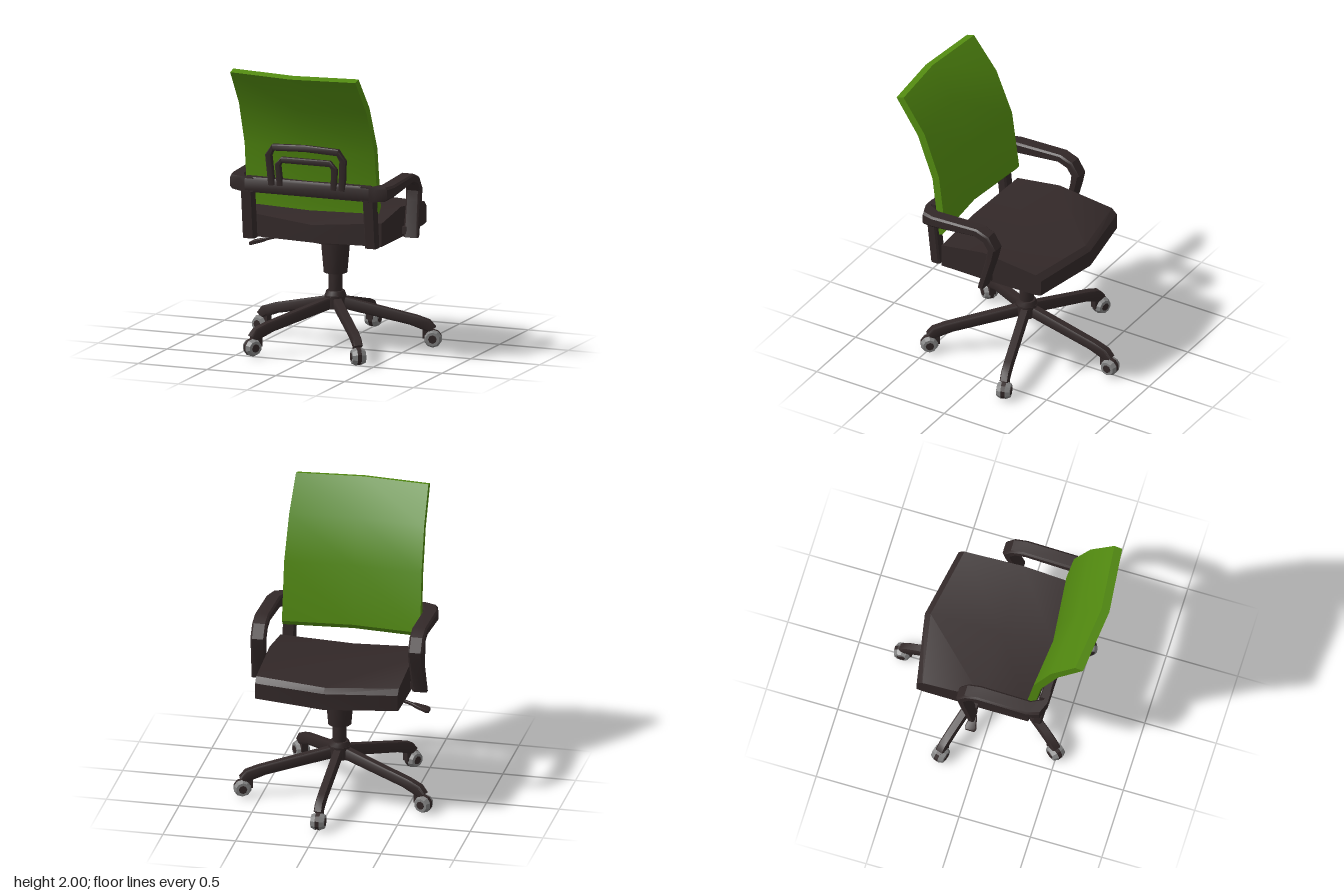
import * as THREE from 'three';
import { toCreasedNormals } from 'three/addons/utils/BufferGeometryUtils.js';

const black = new THREE.MeshStandardMaterial({ color: 0x322828 });
black.name = 'dark plastic';
const green = new THREE.MeshStandardMaterial({ color: 0x528a10 });
green.name = 'green mesh';
const grey = new THREE.MeshStandardMaterial({ color: 0x838383 });
grey.name = 'grey wheel';

const V = (x, y, z) => new THREE.Vector3(x, y, z);

// Closed solid through a row of equal-sized point loops
function loft(loops, crease = 0.55) {
  const n = loops[0].length;
  const pts = loops.flat();
  let idx = [];
  const quad = (a, b, c, d) => idx.push(a, b, c, a, c, d);
  for (let s = 0; s < loops.length - 1; s++) {
    for (let i = 0; i < n; i++) {
      const j = (i + 1) % n;
      quad(s * n + i, s * n + j, (s + 1) * n + j, (s + 1) * n + i);
    }
  }
  const e = (loops.length - 1) * n;
  for (let i = 0; i < n / 2 - 1; i++) {
    quad(i, n - 1 - i, n - 2 - i, i + 1);
    quad(e + i, e + i + 1, e + n - 2 - i, e + n - 1 - i);
  }
  // Turn the faces outward
  let volume = 0;
  for (let i = 0; i < idx.length; i += 3) {
    volume += pts[idx[i]].dot(pts[idx[i + 1]].clone().cross(pts[idx[i + 2]]));
  }
  if (volume < 0) idx = idx.reverse();
  const g = new THREE.BufferGeometry().setFromPoints(pts);
  g.setIndex(idx);
  return toCreasedNormals(g, crease);
}

// Bar with chamfered edges; each section is [centre, half side vector, half height vector]
const CHAMFER = [[-0.75, -1], [0.75, -1], [1, -0.65], [1, 0.65], [0.75, 1], [-0.75, 1], [-1, 0.65], [-1, -0.65]];
const bar = (sections) => loft(sections.map(([c, u, v]) =>
  CHAMFER.map(([a, b]) => c.clone().addScaledVector(u, a).addScaledVector(v, b))));

function add(parent, name, geometry, material = black) {
  const m = new THREE.Mesh(geometry, material);
  m.name = name;
  parent.add(m);
  return m;
}

function cylinder(rTop, rBottom, y0, y1, sides, z = -0.04) {
  const g = new THREE.CylinderGeometry(rTop, rBottom, y1 - y0, sides);
  g.translate(0, (y0 + y1) / 2, z);
  return toCreasedNormals(g, 0.8);
}

// Flat frame following an open path in the xy plane, leaning back with height
function frame(path, half, depth) {
  return bar(path.map(([x, y], i) => {
    const a = path[Math.max(i - 1, 0)], b = path[Math.min(i + 1, path.length - 1)];
    const t = new THREE.Vector2(b[0] - a[0], b[1] - a[1]).normalize();
    const z = 0.458 + (y - 1.2) * 0.09;
    return [V(x, y, z), V(0, 0, depth), V(-t.y * half, t.x * half, 0)];
  }));
}

export function createModel() {
  const chair = new THREE.Group();
  chair.name = 'officeChair';

  // Seat: [side z, centre z, bottom, side top, centre top]
  const seatRows = [
    [-0.45, -0.54, 0.81, 0.92, 0.925],
    [-0.41, -0.5, 0.8, 0.957, 0.955],
    [0, 0, 0.79, 1.0, 0.955],
    [0.33, 0.38, 0.79, 0.95, 0.91],
  ];
  add(chair, 'seat', loft(seatRows.map(([zs, zc, yb, ys, yc]) => [
    V(-0.49, yb, zs), V(0, yb, zc), V(0.49, yb, zs),
    V(0.49, ys, zs), V(0, yc, zc), V(-0.49, ys, zs),
  ])));

  // Backrest: [half width, inner z, inner y, outer z, outer y]
  const backRows = [
    [0.475, 0.335, 1.025, 0.36, 1.02],
    [0.475, 0.308, 1.06, 0.363, 1.06],
    [0.472, 0.362, 1.47, 0.412, 1.44],
    [0.464, 0.48, 1.77, 0.53, 1.74],
    [0.455, 0.65, 2.0, 0.705, 1.985],
  ];
  add(chair, 'backrest', loft(backRows.map(([w, zi, yi, zo, yo]) => [
    V(-w, yi, zi), V(0, yi - 0.004, zi + 0.047), V(w, yi, zi),
    V(w, yo, zo), V(0, yo - 0.004, zo + 0.047), V(-w, yo, zo),
  ])), green);

  // Lumbar frames and rear crossbar
  add(chair, 'outerLumbarFrame', frame([[-0.255, 1.18], [-0.27, 1.39], [-0.235, 1.445],
    [0, 1.455], [0.235, 1.445], [0.27, 1.39], [0.255, 1.18]], 0.022, 0.018));
  add(chair, 'innerLumbarFrame', frame([[-0.195, 1.18], [-0.205, 1.325], [-0.175, 1.362],
    [0.175, 1.362], [0.205, 1.325], [0.195, 1.18]], 0.02, 0.016));
  add(chair, 'rearCrossbar', bar([-0.45, 0.45].map((x) =>
    [V(x, 1.17, 0.433), V(0, 0, 0.032), V(0, 0.052, 0)])));

  // Armrests: [top z, top y, bottom z, bottom y, inner x, outer x]
  const armRows = [
    [0.462, 1.222, 0.462, 1.12, 0.38, 0.49],
    [0.43, 1.222, 0.43, 1.125, 0.45, 0.57],
    [0.35, 1.222, 0.35, 1.14, 0.49, 0.592],
    [0, 1.235, 0.02, 1.175, 0.49, 0.592],
    [-0.09, 1.2, -0.05, 1.15, 0.49, 0.592],
    [-0.147, 1.11, -0.085, 1.1, 0.49, 0.592],
    [-0.13, 1.03, -0.075, 1.03, 0.492, 0.593],
    [-0.06, 0.79, -0.015, 0.79, 0.502, 0.602],
  ];
  for (const s of [1, -1]) {
    const side = s > 0 ? 'left' : 'right';
    add(chair, side + 'Armrest', bar(armRows.map(([tz, ty, bz, by, xi, xo]) => [
      V(s * (xi + xo) / 2, (ty + by) / 2, (tz + bz) / 2),
      V((xo - xi) / 2, 0, 0),
      V(0, (ty - by) / 2, (tz - bz) / 2),
    ])));
    add(chair, side + 'Upright', bar([[0.79, 0.385], [1.16, 0.425]].map(([y, z]) =>
      [V(s * 0.443, y, z), V(0.043, 0, 0), V(0, 0, 0.035)])));
    // Bracket joining the arm post to the seat
    const bracket = add(chair, side + 'ArmBracket', new THREE.BoxGeometry(0.06, 0.05, 0.05));
    bracket.position.set(s * 0.49, 0.835, -0.045);
  }

  // Tilt mechanism and gas column
  add(chair, 'mechanism', cylinder(0.18, 0.175, 0.725, 0.795, 10));
  add(chair, 'columnCover', cylinder(0.1, 0.08, 0.505, 0.73, 12));
  add(chair, 'column', cylinder(0.048, 0.048, 0.37, 0.51, 12));
  add(chair, 'collar', cylinder(0.062, 0.075, 0.345, 0.382, 10));
  add(chair, 'hub', cylinder(0.075, 0.07, 0.26, 0.35, 10));

  // Height lever: [x, y, half depth, half height]
  const lever = [[-0.14, 0.758, 0.01, 0.009], [-0.36, 0.733, 0.01, 0.009], [-0.5, 0.69, 0.011, 0.01],
    [-0.52, 0.683, 0.022, 0.013], [-0.6, 0.66, 0.04, 0.014], [-0.617, 0.655, 0.032, 0.01]];
  add(chair, 'heightLever', bar(lever.map(([x, y, d, h]) => [V(x, y, -0.04), V(0, 0, d), V(0, h, 0)])));

  // Five-legged base: [top r, top y, bottom r, bottom y], built along +x then turned
  const legRows = [[0.03, 0.345, 0.03, 0.265], [0.55, 0.217, 0.5, 0.157],
    [0.635, 0.187, 0.57, 0.13], [0.675, 0.14, 0.62, 0.112]];
  const legGeometry = bar(legRows.map(([tr, ty, br, by]) =>
    [V((tr + br) / 2, (ty + by) / 2, 0), V(0, 0, 0.03), V((tr - br) / 2, (ty - by) / 2, 0)]));
  const disc = (r0, r1, h, sides) => toCreasedNormals(
    new THREE.CylinderGeometry(r1, r0, h, sides).rotateX(Math.PI / 2), 0.4);
  const wheelGeometry = disc(0.062, 0.047, 0.032, 10);
  const capGeometry = disc(0.03, 0.028, 0.008, 8);
  const plateGeometry = disc(0.06, 0.06, 0.03, 10);

  for (let i = 0; i < 5; i++) {
    const leg = new THREE.Group();
    leg.name = 'baseLeg' + (i + 1);
    leg.position.z = -0.04;
    leg.rotation.y = Math.PI / 2 + (i * Math.PI * 2) / 5;
    chair.add(leg);
    add(leg, 'legArm', legGeometry);
    add(leg, 'casterFork', new THREE.BoxGeometry(0.07, 0.075, 0.045)).position.set(0.622, 0.1, 0);
    add(leg, 'casterCore', plateGeometry).position.set(0.655, 0.064, 0);
    for (const s of [1, -1]) {
      const wheel = add(leg, 'casterWheel', wheelGeometry, grey);
      wheel.position.set(0.655, 0.062, s * 0.03);
      if (s < 0) wheel.rotation.y = Math.PI;
      const cap = add(leg, 'wheelCap', capGeometry);
      cap.position.set(0.655, 0.062, s * 0.046);
      if (s < 0) cap.rotation.y = Math.PI;
    }
  }
  return chair;
}
